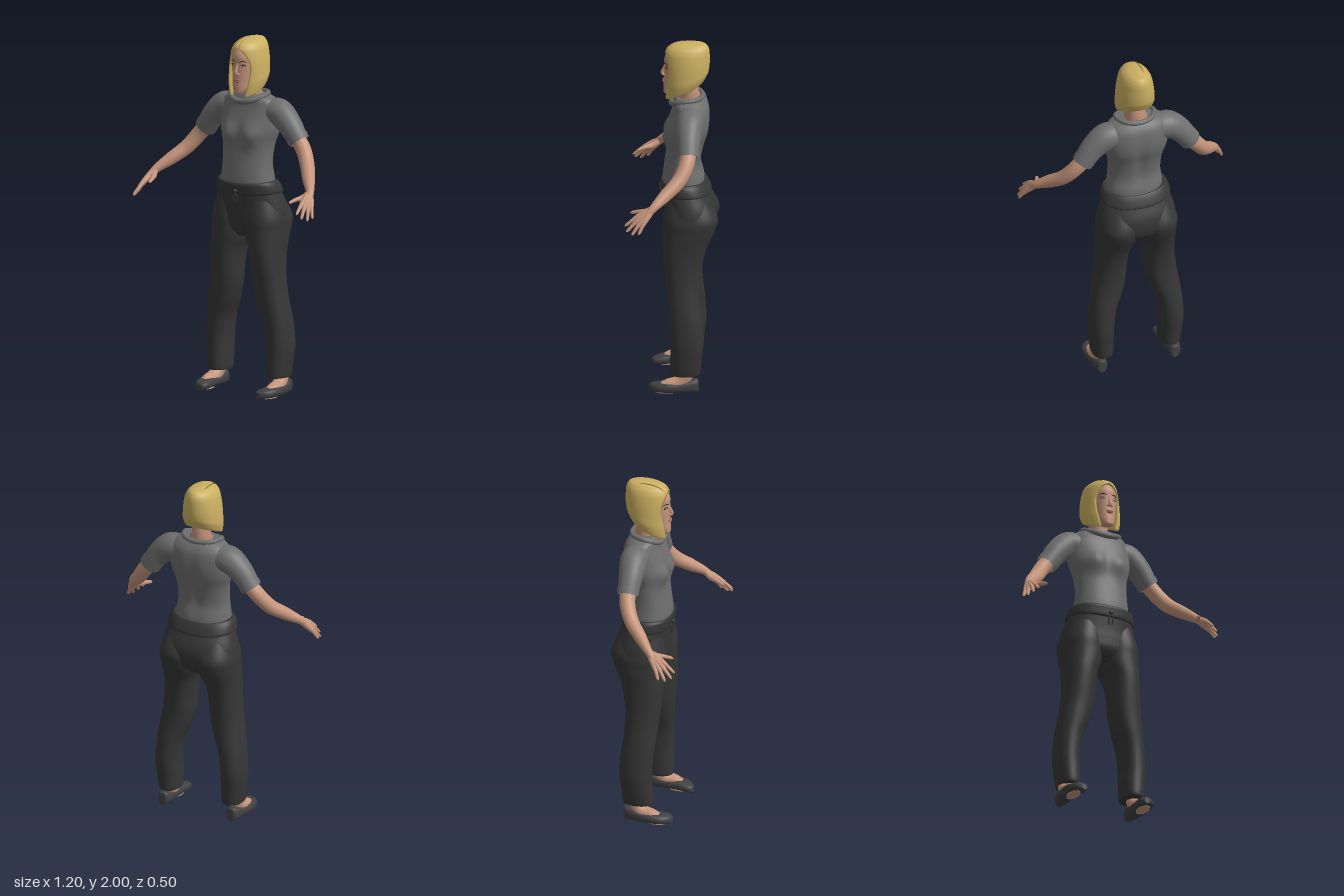
import * as THREE from 'three';

const mat = (name, color, side = THREE.FrontSide) => {
  const m = new THREE.MeshStandardMaterial({ color, side });
  m.name = name;
  return m;
};

// Catmull-Rom smoothing of section rows, k steps between rows
function smooth(rows, k) {
  const out = [], n = rows.length;
  for (let i = 0; i < n - 1; i++) for (let s = 0; s < k; s++) {
    const t = s / k, [a, b, c, d] = [-1, 0, 1, 2].map(o => rows[Math.min(n - 1, Math.max(0, i + o))]);
    out.push(b.map((v, q) => v + 0.5 * t * (c[q] - a[q] +
      t * (2 * a[q] - 5 * v + 4 * c[q] - d[q] + t * (3 * (v - c[q]) + d[q] - a[q])))));
  }
  out.push(rows[n - 1]);
  return out;
}

// Skin closed rings of points, with optional flat end caps
function loft(rings, caps = true) {
  const n = rings[0].length, pos = rings.flat(2), idx = [];
  for (let i = 0; i < rings.length - 1; i++) for (let j = 0; j < n; j++) {
    const k = (j + 1) % n, a = i * n + j, b = i * n + k, c = b + n, d = a + n;
    idx.push(a, b, c, a, c, d);
  }
  if (caps) [rings[0], rings[rings.length - 1]].forEach((ring, e) => {
    const base = pos.length / 3;
    pos.push(...ring.flat(), ...[0, 1, 2].map(q => ring.reduce((s, p) => s + p[q], 0) / n));
    for (let j = 0; j < n; j++) {
      const k = (j + 1) % n;
      idx.push(base + n, base + (e ? j : k), base + (e ? k : j));
    }
  });
  const g = new THREE.BufferGeometry();
  g.setAttribute('position', new THREE.Float32BufferAttribute(pos, 3));
  g.setIndex(idx);
  g.computeVertexNormals();
  return g;
}

const power = (v, e) => Math.sign(v) * Math.pow(Math.abs(v), 2 / e);

// Upright body from rows [y, xMin, xMax, zFront, zBack], bottom to top
function body(rows, { e = 2.2, n = 40, k = 5, tweak = p => p, caps = true } = {}) {
  return loft(smooth(rows, k).map(([y, x0, x1, zf, zb]) => Array.from({ length: n }, (_, j) => {
    const t = j / n * Math.PI * 2;
    return tweak([(x0 + x1) / 2 + (x1 - x0) / 2 * power(Math.sin(t), e), y,
      (zf + zb) / 2 + (zf - zb) / 2 * power(Math.cos(t), e)]);
  })), caps);
}
const even = rows => rows.map(([y, rx, zf, zb]) => [y, -rx, rx, zf, zb]);

// Tube of changing radius through points [x, y, z, r]; s = -1 mirrors it
function limb(pts, s = 1, sides = 16, closed = false) {
  const curve = new THREE.CatmullRomCurve3(pts.map(p => new THREE.Vector3(p[0] * s, p[1], p[2])), closed);
  const steps = pts.length * 6, g = new THREE.TubeGeometry(curve, steps, 1, sides, closed);
  const pos = g.attributes.position, v = new THREE.Vector3();
  for (let i = 0; i <= steps; i++) {
    const u = i / steps, c = curve.getPointAt(u);
    const t = curve.getUtoTmapping(u) * (closed ? pts.length : pts.length - 1);
    const a = Math.min(Math.floor(t), pts.length - 1), b = closed ? (a + 1) % pts.length : Math.min(a + 1, pts.length - 1);
    const r = THREE.MathUtils.lerp(pts[a][3], pts[b][3], t - a);
    for (let j = 0; j <= sides; j++) {
      const q = i * (sides + 1) + j;
      v.fromBufferAttribute(pos, q).sub(c).multiplyScalar(r).add(c);
      pos.setXYZ(q, v.x, v.y, v.z);
    }
  }
  return g;
}

export function createModel() {
  const root = new THREE.Group();
  root.name = 'woman';
  const D = THREE.DoubleSide;
  const skin = mat('skin', 0xc4947a, D), shirt = mat('shirt grey', 0x6e6e6e, D);
  const trousers = mat('trouser charcoal', 0x363636, D), shoe = mat('shoe charcoal', 0x414143);
  const hair = mat('blonde hair', 0xcbb062, D), hairLine = mat('hair parting', 0x80692f);
  const lips = mat('lips', 0xa0685c), dark = mat('lash brown', 0x3a2a24), white = mat('eye white', 0xd8d0c8);
  const add = (name, geo, m) => {
    const mesh = new THREE.Mesh(geo, m);
    mesh.name = name;
    root.add(mesh);
    return mesh;
  };
  const blob = (name, m, p, size) => {
    const b = add(name, new THREE.SphereGeometry(1, 20, 14), m);
    b.position.set(...p);
    b.scale.set(...size);
    return b;
  };

  // Shirt: torso with bust and a shallow spine groove
  const bump = (x, y, cx, cy, w, h) => Math.exp(-(((x - cx) / w) ** 2) - ((y - cy) / h) ** 2);
  add('shirtTorso', body(even([
    [1.165, .163, .056, -.178], [1.22, .158, .055, -.176], [1.3, .15, .045, -.16], [1.4, .156, .032, -.176],
    [1.48, .178, .03, -.2], [1.55, .185, .018, -.207], [1.62, .182, .0, -.2], [1.66, .155, -.005, -.18],
    [1.685, .1, -.015, -.155]]), {
    n: 64, tweak: ([x, y, z]) => [x, y, z > -.03
      ? z + .03 * bump(Math.abs(x), y, .075, 1.465, .055, .065)
      : z + (z < -.12 ? .014 * bump(x, y, 0, 1.42, .03, .15) : 0)]
  }), shirt);
  add('collar', limb([[0, 1.648, .006, .017], [.065, 1.658, -.005, .016], [.11, 1.684, -.065, .014], [.08, 1.688, -.14, .014],
    [0, 1.684, -.166, .014], [-.08, 1.688, -.14, .014], [-.11, 1.684, -.065, .014], [-.065, 1.658, -.005, .016]], 1, 10, true), shirt);

  // Trousers: hips, waistband and tied cord
  add('hips', body(even([[.885, .19, .0, -.18], [.94, .22, .038, -.23], [1.0, .223, .045, -.246],
    [1.06, .214, .047, -.24], [1.13, .193, .053, -.207], [1.19, .17, .058, -.178]]), { n: 56 }), trousers);
  add('waistband', body(even([[1.125, .197, .056, -.214], [1.135, .2, .062, -.216], [1.165, .193, .065, -.202],
    [1.185, .184, .066, -.19], [1.195, .174, .06, -.182]]), { n: 56, tweak: ([x, y, z]) => [x, y + .3 * x * x, z] }), trousers);
  blob('cordKnot', trousers, [0, 1.15, .066], [.014, .012, .01]);

  for (const s of [1, -1]) {
    const side = s > 0 ? 'left' : 'right';
    add(side + 'Cord', limb([[0, 1.15, .068, .004], [.012, 1.12, .066, .004], [.01, 1.08, .056, .004]], s, 6), trousers);
    add(side + 'TrouserLeg', body([
      [.1, .14, .255, .003, -.158], [.12, .137, .26, .007, -.163], [.2, .135, .27, .005, -.17], [.28, .135, .275, .005, -.179],
      [.4, .12, .268, .01, -.175], [.5, .082, .255, .02, -.165], [.6, .057, .24, .03, -.16], [.7, .05, .23, .042, -.167],
      [.8, .038, .225, .05, -.187], [.87, .01, .226, .051, -.215], [.93, .0, .226, .051, -.242], [1.0, .0, .224, .05, -.254],
      [1.1, .01, .19, .03, -.2]].map(([y, a, b, f, k]) => s > 0 ? [y, a, b, f, k] : [y, -b, -a, f, k])), trousers);

    // Sleeve, cuff and arm
    add(side + 'Sleeve', limb([[.09, 1.585, -.1, .072], [.18, 1.588, -.104, .08], [.25, 1.535, -.1, .069], [.318, 1.443, -.1, .057]], s, 28), shirt);
    add(side + 'Cuff', limb([[.297, 1.475, -.1, .058], [.302, 1.468, -.1, .063], [.318, 1.444, -.1, .061], [.321, 1.44, -.1, .05]], s, 28), shirt);
    add(side + 'Arm', limb([[.27, 1.5, -.1, .045], [.35, 1.41, -.092, .044], [.41, 1.33, -.05, .041], [.47, 1.268, .02, .036],
      [.525, 1.213, .085, .023], [.543, 1.18, .117, .02], [.55, 1.165, .13, .003]], s, 24), skin);

    // Fingers run from the wrist so that their roots form the palm
    const wrist = [.527, 1.208, .092];
    [[.545, 1.112, .245], [.572, 1.087, .236], [.592, 1.074, .205], [.6, 1.082, .166]].forEach((tip, i) => {
      const at = (f, r, lift = 0) => [...wrist.map((w, q) => w + (tip[q] - w) * f + (q === 1 ? lift : 0)), r];
      add(side + 'Finger' + (i + 1), limb([at(0, .017), at(.25, .02, .004), at(.5, .016, .007), at(.72, .0105, .006),
        at(.93, .0085), at(1, .001)], s, 10), skin);
    });
    add(side + 'Thumb', limb([[.525, 1.208, .092, .017], [.508, 1.185, .13, .018], [.49, 1.178, .168, .012],
      [.478, 1.168, .205, .009], [.475, 1.164, .216, .001]], s, 10), skin);

    // Ankle, instep and slip-on shoe
    add(side + 'Foot', limb([[.212, .16, -.085, .04], [.214, .09, -.08, .038], [.219, .055, -.04, .04],
      [.221, .043, .01, .037], [.219, .032, .05, .028], [.219, .03, .06, .002]], s, 18), skin);
    add(side + 'Shoe', loft(smooth([[-.152, .215, .012, .06], [-.145, .215, .028, .078], [-.1, .217, .04, .073], [-.04, .221, .046, .063],
      [.02, .222, .05, .058], [.07, .214, .049, .052], [.105, .203, .036, .044], [.122, .196, .014, .034]], 4)
      .map(([z, x, w, h]) => Array.from({ length: 24 }, (_, j) => {
        const t = j / 24 * Math.PI * 2;
        return [s * x + w * power(Math.cos(t), 2.6), .003 + h / 2 + h / 2 * power(Math.sin(t), 2.6), z];
      }))), shoe);
    const sole = add(side + 'Sole', new THREE.CylinderGeometry(1, 1, .006, 24), skin);
    sole.position.set(s * .217, .003, .03);
    sole.scale.set(.032, 1, .06);

    // Eye, brow and nostril
    blob(side + 'Lashes', dark, [s * .034, 1.859, .0345], [.0165, .0075, .006]).rotation.y = s * .35;
    blob(side + 'EyeWhite', white, [s * .034, 1.857, .0365], [.0125, .005, .0055]).rotation.y = s * .35;
    blob(side + 'Iris', dark, [s * .033, 1.857, .0405], [.0048, .0048, .0025]);
    add(side + 'Brow', limb([[.015, 1.877, .045, .002], [.034, 1.884, .038, .0032], [.053, 1.877, .021, .001]], s, 6), dark);
    blob(side + 'Nostril', skin, [s * .0105, 1.811, .051], [.008, .007, .009]);
  }

  // Neck and head
  add('neck', limb([[0, 1.63, -.09, .075], [0, 1.675, -.092, .072], [0, 1.71, -.092, .053], [0, 1.82, -.075, .055]], 1, 24), skin);
  add('head', body(even([[1.697, .015, .042, .01], [1.703, .03, .05, -.01], [1.73, .049, .051, -.06], [1.77, .062, .049, -.12],
    [1.82, .072, .047, -.16], [1.87, .076, .046, -.172], [1.91, .075, .045, -.17], [1.95, .06, .022, -.15], [1.97, .025, -.03, -.11]]),
    { e: 2.1 }), skin);
  add('nose', limb([[0, 1.872, .04, .005], [0, 1.845, .049, .008], [0, 1.819, .058, .0105], [0, 1.809, .055, .008], [0, 1.804, .048, .001]], 1, 12), skin);
  blob('upperLip', lips, [0, 1.778, .049], [.021, .0055, .008]);
  blob('lowerLip', lips, [0, 1.769, .049], [.018, .006, .0085]);

  // Bobbed hair: thick shell, rows [y, halfWidth, zFront, zBack, face gap, back lift, thickness]
  const rows = smooth([[1.672, .096, .047, -.17, .046, .1, 0], [1.685, .102, .05, -.178, .048, .098, .14],
    [1.74, .11, .052, -.192, .06, .07, .16], [1.8, .108, .052, -.2, .07, .03, .16], [1.87, .103, .051, -.206, .068, .005, .16],
    [1.93, .092, .046, -.206, .036, 0, .16], [1.955, .083, .038, -.204, 0, 0, .16], [1.975, .07, .02, -.197, 0, 0, .16],
    [1.992, .047, -.02, -.18, 0, 0, .16], [2.0, .012, -.085, -.13, 0, 0, .16]], 5);
  const N = 48;
  add('hair', loft(rows.map(([y, rx, zf, zb, gap, lift, thick]) => {
    const start = Math.asin(Math.min(.95, Math.max(.0, gap) / rx)), ring = [];
    for (let j = 0; j < 2 * N; j++) {
      const inner = j >= N, f = (inner ? 2 * N - 1 - j : j) / (N - 1);
      const t = start + f * (2 * Math.PI - 2 * start), k = inner ? 1 - thick : 1;
      ring.push([rx * k * Math.sin(t), y + lift * (1 - Math.cos(t)) / 2, (zf + zb) / 2 + (zf - zb) / 2 * k * Math.cos(t)]);
    }
    return ring;
  }), false), hair);
  blob('crown', hair, [0, 1.992, -.107], [.03, .008, .05]);
  add('hairParting', limb([[-.03, 1.945, .034, .002], [-.034, 1.974, .008, .003], [-.035, 1.991, -.04, .003],
    [-.036, 1.994, -.1, .003], [-.036, 1.99, -.15, .002]], 1, 6), hairLine);
  return root;
}
